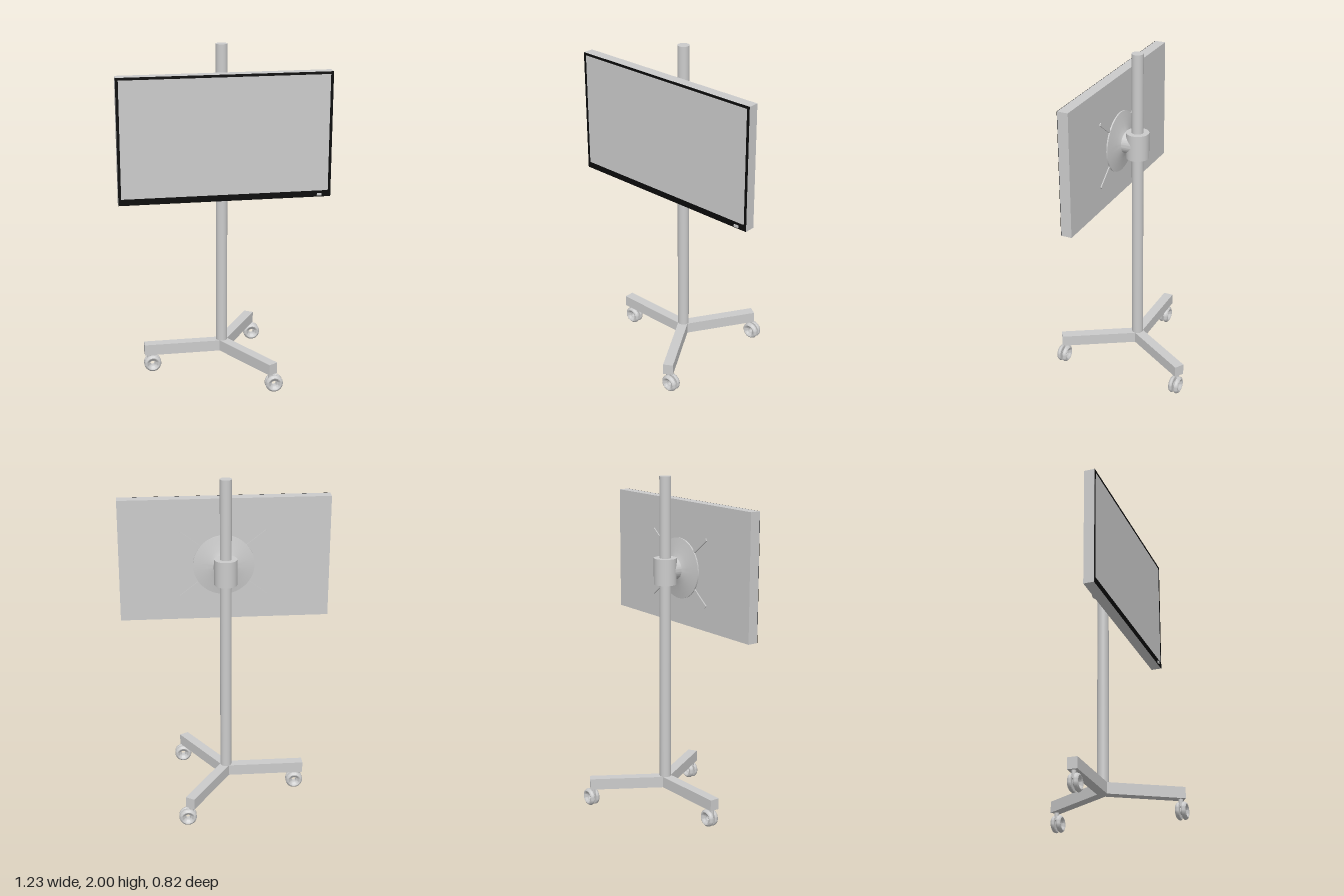
import * as THREE from 'three';
import { toCreasedNormals } from 'three/addons/utils/BufferGeometryUtils.js';

const grey = new THREE.MeshStandardMaterial({ color: 0xcccccc });
const black = new THREE.MeshStandardMaterial({ color: 0x0a0a0a });

const HUB = { x: 0.003, z: -0.007 }; // pole axis
const MOUNT_Y = 1.455;

export function createModel() {
  const model = new THREE.Group();

  const add = (name, geometry, x, y, z, material = grey, parent = model) => {
    const mesh = new THREE.Mesh(geometry, material);
    mesh.name = name;
    mesh.position.set(x, y, z);
    parent.add(mesh);
    return mesh;
  };
  const lathe = (points, segments) => toCreasedNormals(
    new THREE.LatheGeometry(points.map(([r, h]) => new THREE.Vector2(r, h)), segments), 0.6);

  // Pole and the collar that slides on it
  add('pole', new THREE.CylinderGeometry(0.034, 0.034, 1.87, 40), HUB.x, 1.065, HUB.z);
  add('collar', new THREE.CylinderGeometry(0.067, 0.067, 0.155, 48), HUB.x, 1.45, HUB.z);

  // Three legs meeting under the pole
  const legEnds = [[-0.473, -0.007], [0.245, 0.397], [0.245, -0.397]];
  for (const [x, z] of legEnds) {
    const dx = x - HUB.x, dz = z - HUB.z;
    const leg = add('leg', new THREE.BoxGeometry(Math.hypot(dx, dz), 0.067, 0.059),
      HUB.x + dx / 2, 0.147, HUB.z + dz / 2);
    leg.rotation.y = Math.atan2(-dz, dx);
  }

  // Twin-wheel casters: one ring profile mirrored about the centre slot
  const half = [[0.022, 0], [0.022, 0.006], [0.046, 0.006], [0.051, 0.01], [0.052, 0.015],
    [0.05, 0.022], [0.045, 0.028], [0.039, 0.0315], [0.033, 0.03], [0.028, 0.025],
    [0.022, 0.017], [0.015, 0.014], [0.015, 0]];
  const mirrored = half.slice(1).reverse().map(([r, h]) => [r, -h]);
  const wheelGeometry = lathe([...mirrored, ...half], 36).rotateX(Math.PI / 2);
  const stemGeometry = new THREE.CylinderGeometry(0.013, 0.013, 0.05, 20);
  for (const [x, z] of [[-0.425, -0.007], [0.252, 0.379], [0.258, -0.38]]) {
    const caster = new THREE.Group();
    caster.name = 'caster';
    caster.position.set(x, 0, z);
    add('casterWheel', wheelGeometry, 0, 0.052, 0, grey, caster);
    add('casterStem', stemGeometry, -0.022, 0.092, 0, grey, caster);
    model.add(caster);
  }

  // Neck flaring from the collar into a dish behind the panel
  const flare = lathe([[0.063, 0], [0.063, 0.074], [0.075, 0.079], [0.1, 0.0855],
    [0.14, 0.094], [0.18, 0.101], [0.18, 0.112]], 64).rotateX(Math.PI / 2);
  add('mountNeck', flare, HUB.x + 0.003, MOUNT_Y, HUB.z);

  // Four thin bracket arms reaching out in a cross
  const armX = 0.25, armY = 0.195;
  for (const sx of [-1, 1]) {
    for (const sy of [-1, 1]) {
      const arm = add('mountArm', new THREE.BoxGeometry(0.2, 0.016, 0.008),
        HUB.x + 0.006 + sx * armX * 0.69, MOUNT_Y + 0.005 + sy * armY * 0.69, 0.1);
      arm.rotation.z = Math.atan2(sy * armY, sx * armX);
    }
  }

  // Display panel with a black bezel around the screen
  const halfW = 0.617, bottom = 1.12, top = 1.855;
  add('panelBody', new THREE.BoxGeometry(halfW * 2, top - bottom, 0.063),
    0, (top + bottom) / 2, 0.1335);
  const rectangle = (path, x, y0, y1) => path.moveTo(-x, y0).lineTo(x, y0)
    .lineTo(x, y1).lineTo(-x, y1).closePath();
  const bezelShape = new THREE.Shape();
  rectangle(bezelShape, halfW, bottom, top);
  const opening = new THREE.Path();
  rectangle(opening, halfW - 0.016, bottom + 0.037, top - 0.015);
  bezelShape.holes.push(opening);
  add('bezel', new THREE.ExtrudeGeometry(bezelShape, { depth: 0.002, bevelEnabled: false }),
    0, 0, 0.165, black);
  add('screen', new THREE.BoxGeometry(2 * halfW - 0.032, top - bottom - 0.052, 0.002),
    0, (top + bottom + 0.022) / 2, 0.1655);

  // Small receiver at the lower corner of the bezel
  add('receiver', new THREE.BoxGeometry(0.028, 0.014, 0.007), 0.55, 1.134, 0.1695);

  return model;
}
